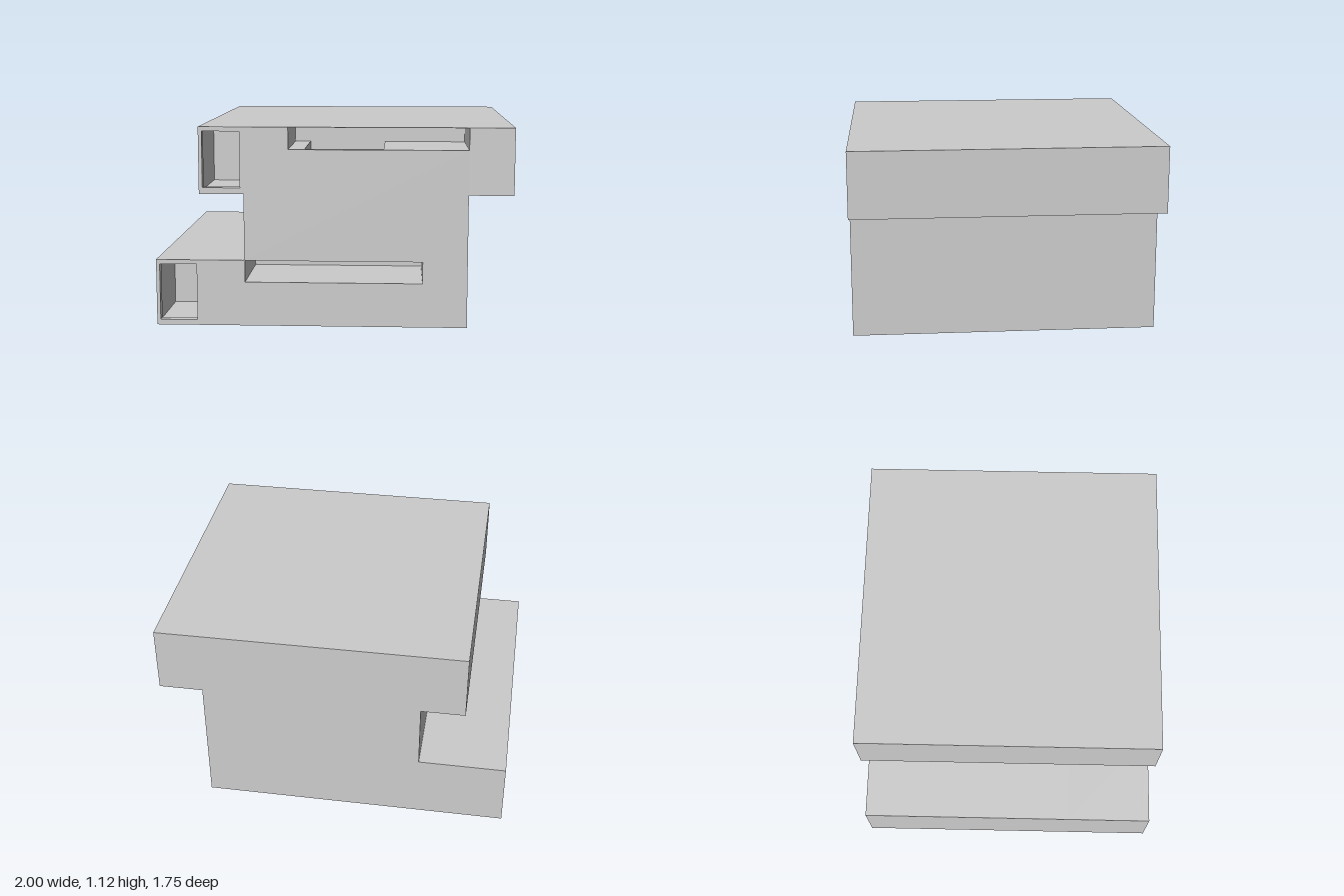
import * as THREE from 'three';

const OUTLINE = [[-1, 0], [0.75, 0], [0.75, 0.75], [1, 0.75], [1, 1.125],
  [-0.75, 1.125], [-0.75, 0.75], [-0.5, 0.75], [-0.5, 0.375], [-1, 0.375]];

const rect = (x0, y0, x1, y1) => [[x0, y0], [x1, y0], [x1, y1], [x0, y1]];
const points = (list) => list.map(([x, y]) => new THREE.Vector2(x, y));

export function createModel() {
  const group = new THREE.Group();
  const material = new THREE.MeshStandardMaterial({ color: 0xcccccc, flatShading: true });

  // One slice of a profile between two depths, with openings cut through it
  function slice(name, outline, zBack, zFront, openings = []) {
    const shape = new THREE.Shape(points(outline));
    for (const o of openings) shape.holes.push(new THREE.Path(points(o)));
    const geometry = new THREE.ExtrudeGeometry(shape, { depth: zFront - zBack, bevelEnabled: false });
    geometry.translate(0, 0, zBack);
    const mesh = new THREE.Mesh(geometry, material);
    mesh.name = name;
    group.add(mesh);
  }

  const front = 0.875, lip = 0.825, inner = 0.375;
  const lowerSlot = rect(-0.497, 0.25, 0.5, 0.373);
  const upperSlot = rect(-0.25, 1, 0.75, 1.122);
  // Upper slot with a well sunk into its floor
  const upperSlotWithWell = [[-0.25, 1], [-0.16, 1], [-0.16, 0.62], [0.28, 0.62],
    [0.28, 1], [0.75, 1], [0.75, 1.122], [-0.25, 1.122]];

  // Front plate: narrow pocket mouths and both slots
  slice('frontPlate', OUTLINE, lip, front, [
    rect(-0.98, 0.03, -0.77, 0.35), rect(-0.73, 0.785, -0.52, 1.1), lowerSlot, upperSlot]);

  // Hollow section: pockets widen behind the plate
  slice('hollowSection', OUTLINE, inner, lip, [
    rect(-0.99, 0.015, -0.76, 0.365), rect(-0.74, 0.765, -0.51, 1.115), lowerSlot, upperSlotWithWell]);

  // Solid rear body
  slice('rearBody', OUTLINE, -front, inner);

  // Sloping ceiling of the upper slot
  const wedge = new THREE.Shape(points([[-front, 1.123], [-inner, 1.1], [-inner, 1.123]]));
  const ceiling = new THREE.ExtrudeGeometry(wedge, { depth: 1, bevelEnabled: false });
  ceiling.rotateY(Math.PI / 2).translate(-0.25, 0, 0);
  const ceilingMesh = new THREE.Mesh(ceiling, material);
  ceilingMesh.name = 'slotCeiling';
  group.add(ceilingMesh);

  return group;
}
